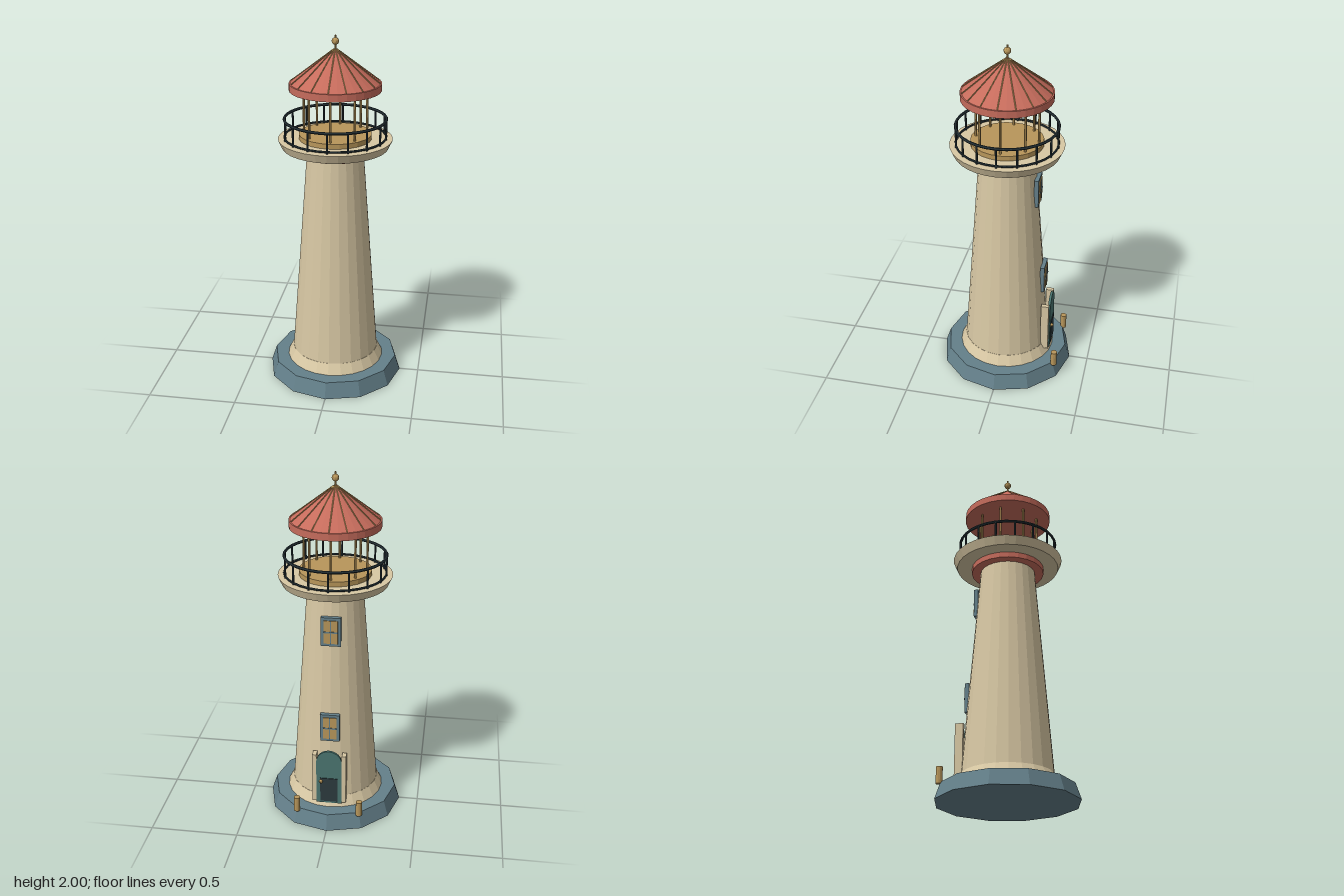
import * as THREE from 'three';

const mat = (color) => new THREE.MeshStandardMaterial({ color, flatShading: true });
const stone = mat(0xd8c8a4), slate = mat(0x64808a), red = mat(0xc66c5c);
const brass = mat(0xb8965a), iron = mat(0x28353a), teal = mat(0x4a7570), dark = mat(0x2c3a3e);

export function createModel() {
  const model = new THREE.Group();

  const add = (name, geometry, material, x = 0, y = 0, z = 0, parent = model) => {
    const mesh = new THREE.Mesh(geometry, material);
    mesh.name = name;
    mesh.position.set(x, y, z);
    parent.add(mesh);
    return mesh;
  };
  // Upright frustum given by its bottom and top heights
  const drum = (name, rBottom, rTop, y0, y1, sides, material, x = 0, z = 0) =>
    add(name, new THREE.CylinderGeometry(rTop, rBottom, y1 - y0, sides), material, x, (y0 + y1) / 2, z);
  const box = (name, w, h, d, material, x, y, z, parent) =>
    add(name, new THREE.BoxGeometry(w, h, d), material, x, y, z, parent);
  const ring = (name, r, tube, y, material) => {
    add(name, new THREE.TorusGeometry(r, tube, 6, 32), material, 0, y, 0).rotation.x = Math.PI / 2;
  };
  const around = (count, radius, place) => {
    for (let i = 0; i < count; i++) {
      const a = (i / count) * Math.PI * 2;
      place(Math.sin(a) * radius, Math.cos(a) * radius, a);
    }
  };

  // Base and tower
  drum('foundation', 0.39, 0.36, 0, 0.09, 12, slate);
  drum('plinth', 0.28, 0.25, 0.09, 0.15, 24, stone);
  drum('tower', 0.249, 0.157, 0.15, 1.36, 24, stone);
  drum('collar', 0.208, 0.208, 1.355, 1.387, 24, red);
  drum('galleryDeck', 0.293, 0.315, 1.387, 1.435, 32, stone);

  // Gallery railing
  around(16, 0.279, (x, z) => drum('railingPost', 0.006, 0.006, 1.435, 1.545, 6, iron, x, z));
  ring('topRail', 0.279, 0.008, 1.545, iron);
  ring('bottomRail', 0.279, 0.006, 1.445, iron);

  // Lantern room
  drum('lanternFloor', 0.2, 0.2, 1.435, 1.462, 24, brass);
  around(8, 0.174, (x, z) => drum('lanternPost', 0.007, 0.007, 1.46, 1.71, 6, brass, x, z));

  // Roof with ribs and finial
  drum('roofRim', 0.25, 0.25, 1.705, 1.745, 32, red);
  drum('roof', 0.242, 0.008, 1.745, 1.925, 32, red);
  const ribLength = Math.hypot(0.232, 0.178);
  around(16, 0.126, (x, z, a) => {
    const rib = add('roofRib', new THREE.CylinderGeometry(0.003, 0.003, ribLength, 5), brass, x, 1.836, z);
    rib.rotation.order = 'YXZ';
    rib.rotation.set(-Math.atan2(0.232, 0.178), a, 0);
  });
  drum('finialStem', 0.006, 0.005, 1.915, 2, 8, brass);
  add('finialBall', new THREE.SphereGeometry(0.02, 12, 8), brass, 0, 1.968, 0);

  // Arched door on the back
  const arch = new THREE.Shape();
  arch.moveTo(-0.073, 0.115);
  arch.lineTo(0.073, 0.115);
  arch.lineTo(0.073, 0.387);
  arch.absarc(0, 0.387, 0.073, 0, Math.PI, false);
  arch.closePath();
  const doorGeometry = new THREE.ExtrudeGeometry(arch, { depth: 0.014, bevelEnabled: false, curveSegments: 12 });
  add('door', doorGeometry, teal, 0, 0, -0.274);
  box('doorPanel', 0.1, 0.155, 0.006, dark, 0, 0.205, -0.275);
  for (const side of [-1, 1]) box('doorJamb', 0.024, 0.31, 0.045, stone, side * 0.085, 0.275, -0.245);
  add('doorKnob', new THREE.SphereGeometry(0.011, 8, 6), brass, 0.045, 0.262, -0.281);

  // Windows above the door
  for (const [y, z] of [[0.59, -0.218], [1.165, -0.174]]) {
    const win = new THREE.Group();
    win.name = 'window';
    win.position.set(0, y, z);
    model.add(win);
    box('windowFrame', 0.11, 0.168, 0.024, slate, 0, 0, 0, win);
    box('windowPane', 0.078, 0.135, 0.01, brass, 0, 0, -0.012, win);
    box('windowBarAcross', 0.078, 0.008, 0.008, slate, 0, 0, -0.016, win);
    box('windowBarUpright', 0.006, 0.135, 0.008, slate, 0, 0, -0.016, win);
  }

  // Bollards flanking the door
  for (const side of [-1, 1]) drum('bollard', 0.018, 0.018, 0.08, 0.17, 12, brass, side * 0.18, -0.32);

  return model;
}
